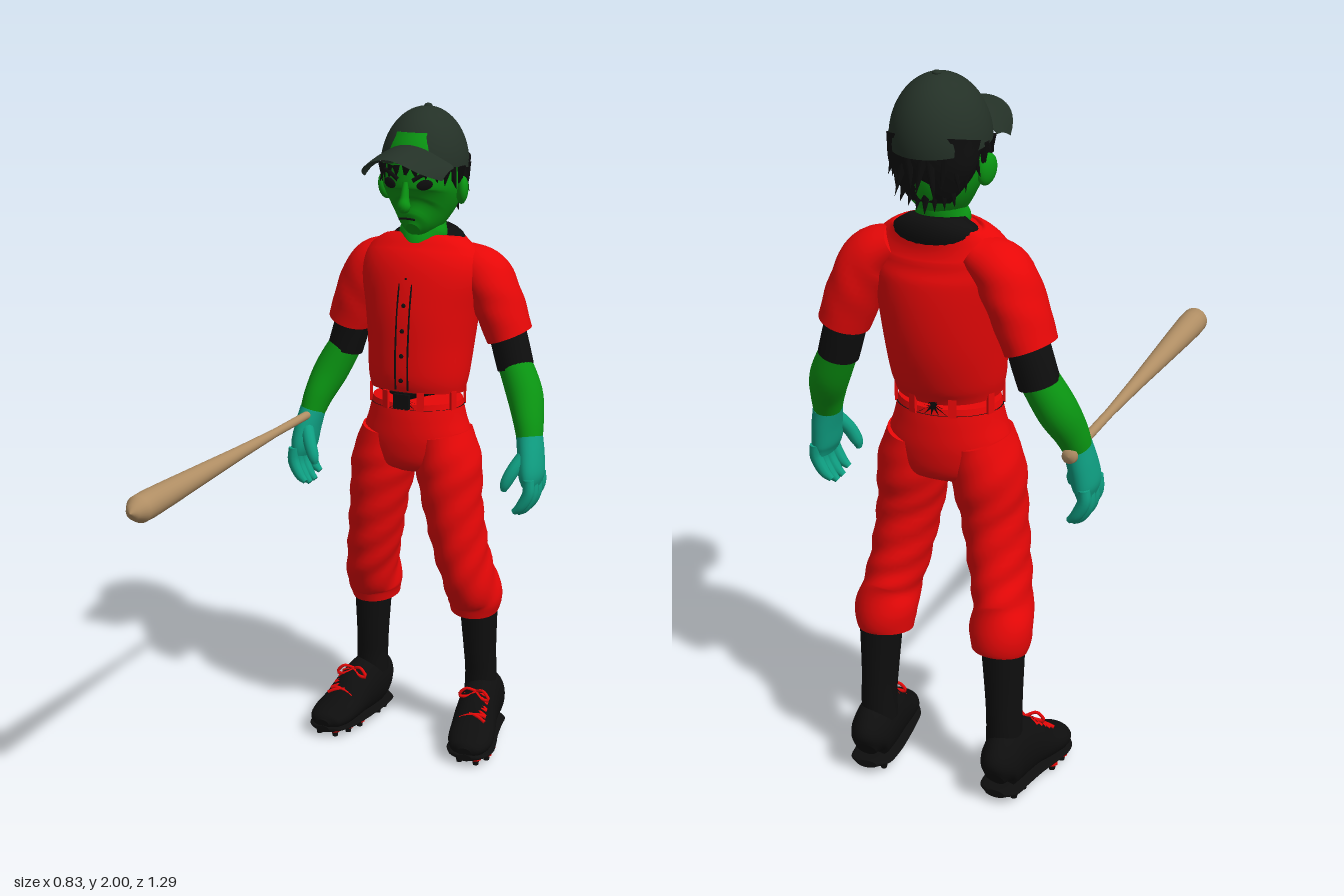
import * as THREE from 'three';

const mat = (name, color) => Object.assign(new THREE.MeshStandardMaterial({ color }), { name });

// Smooth loft through sections [x, y, z, a, b]; 'hint' is the direction of radius b.
function loft(sections, { hint = [0, 0, 1], seg = 28, steps = 6, fold = 0 } = {}) {
  const curve = new THREE.CatmullRomCurve3(sections.map(s => new THREE.Vector3(s[0], s[1], s[2])), false, 'catmullrom');
  const size = new THREE.CatmullRomCurve3(sections.map(s => new THREE.Vector3(s[3], s[4], 0)), false, 'catmullrom');
  const h = new THREE.Vector3(...hint), n = (sections.length - 1) * steps, pos = [], idx = [];
  const ring = (t, k) => {
    const p = curve.getPoint(t), r = size.getPoint(t), tan = curve.getTangent(t);
    const u = new THREE.Vector3().crossVectors(tan, h).normalize(), v = new THREE.Vector3().crossVectors(u, tan);
    for (let j = 0; j < seg; j++) {
      const th = j / seg * Math.PI * 2;
      const w = k * (1 + fold * Math.sin(th * 3 + p.y * 70) * Math.sin(Math.PI * t));
      const q = p.clone().addScaledVector(u, r.x * w * Math.cos(th)).addScaledVector(v, r.y * w * Math.sin(th));
      pos.push(q.x, q.y, q.z);
    }
  };
  ring(0, 0); ring(0, 1);
  for (let i = 0; i <= n; i++) ring(i / n, 1);
  ring(1, 1); ring(1, 0);
  for (let i = 0; i < n + 4; i++) for (let j = 0; j < seg; j++) {
    const a = i * seg + j, c = i * seg + (j + 1) % seg;
    idx.push(a, a + seg, c, c, a + seg, c + seg);
  }
  const g = new THREE.BufferGeometry();
  g.setAttribute('position', new THREE.Float32BufferAttribute(pos, 3));
  g.setIndex(idx);
  g.computeVertexNormals();
  // front surface depth at (x, y) for upright lofts
  g.userData.frontZ = (x, y) => {
    let lo = 0, hi = 1;
    for (let i = 0; i < 30; i++) { const m = (lo + hi) / 2; if (curve.getPoint(m).y < y) lo = m; else hi = m; }
    const r = size.getPoint(lo);
    return curve.getPoint(lo).z + r.y * Math.sqrt(Math.max(0, 1 - (x / r.x) ** 2));
  };
  return g;
}

export function createModel() {
  const root = new THREE.Group();
  root.name = 'ballPlayer';
  const red = mat('uniformRed', 0xf20808), green = mat('skinGreen', 0x0a9612), teal = mat('gloveTeal', 0x0fa083);
  const black = mat('black', 0x0e0e0e), capMat = mat('capGreen', 0x243127), wood = mat('batWood', 0xb08e64);
  capMat.side = THREE.DoubleSide;

  const add = (name, g, m, p = [0, 0, 0], r = [0, 0, 0], s = [1, 1, 1]) => {
    const o = new THREE.Mesh(g, m);
    o.name = name;
    o.position.set(...p); o.rotation.set(...r); o.scale.set(...s);
    root.add(o);
    return o;
  };
  const ball = new THREE.SphereGeometry(1, 20, 14);
  const wire = (name, pts, r, m) => add(name, new THREE.TubeGeometry(
    new THREE.CatmullRomCurve3(pts.map(p => new THREE.Vector3(...p))), 16, r, 6), m);

  // Jersey, collar and belt
  const jersey = loft([[0, 1.15, -.455, .146, .12], [0, 1.2, -.46, .156, .137], [0, 1.3, -.475, .165, .149],
    [0, 1.4, -.483, .178, .148], [0, 1.5, -.49, .195, .132], [0, 1.56, -.505, .182, .105], [0, 1.6, -.52, .135, .08],
    [0, 1.61, -.522, .11, .072]], { seg: 40 });
  add('jersey', jersey, red);
  add('undershirtCollar', loft([[0, 1.58, -.525, .12, .07], [0, 1.61, -.528, .113, .074], [0, 1.635, -.525, .075, .06]]), black);
  const onChest = (x, y) => [x, y, jersey.userData.frontZ(x, y)];
  for (const s of [-1, 1]) {
    wire('placketSeam', [1.17, 1.25, 1.33, 1.41, 1.49, 1.54].map(y => onChest(s * .02, y)), .003, black);
    wire('necklineTrim', [[.082, 1.6], [.05, 1.58], [.02, 1.555], [.004, 1.54]].map(([x, y]) => onChest(s * x, y)), .005, red);
  }
  for (let i = 0; i < 5; i++) add('button', ball, black, onChest(0, 1.2 + i * .075), [0, 0, 0], [.007, .007, .004]);
  add('belt', loft([[0, 1.108, -.455, .147, .124], [0, 1.16, -.455, .144, .122]], { seg: 40, steps: 1 }), black);
  for (let i = 0; i < 8; i++) {
    const a = (i + .5) / 8 * Math.PI * 2;
    add('beltLoop', new THREE.BoxGeometry(.022, .056, .008), red,
      [Math.sin(a) * .146, 1.134, -.455 + Math.cos(a) * .123], [0, a, 0]);
  }
  add('buckle', new THREE.BoxGeometry(.05, .045, .012), black, [0, 1.134, -.331]);

  // Trousers seat
  add('trouserSeat', loft([[0, .9, -.455, .09, .07], [0, .93, -.455, .16, .115], [0, 1, -.455, .174, .129],
    [0, 1.07, -.455, .153, .126], [0, 1.125, -.455, .14, .118]], { seg: 36 }), red);

  // Neck and head
  add('neck', loft([[0, 1.55, -.46, .03, .045], [0, 1.585, -.465, .058, .056], [0, 1.62, -.485, .075, .06],
    [0, 1.66, -.5, .062, .06], [0, 1.72, -.5, .065, .065]]), green);
  const head = loft([[0, 1.641, -.405, .022, .028], [0, 1.655, -.42, .046, .058], [0, 1.69, -.453, .082, .1],
    [0, 1.74, -.475, .11, .128], [0, 1.8, -.48, .119, .136], [0, 1.86, -.48, .117, .132], [0, 1.92, -.485, .09, .11]], { seg: 36 });
  add('head', head, green);
  const onFace = (x, y) => [x, y, head.userData.frontZ(x, y)];
  add('nose', loft([[0, 1.705, -.345, .012, .01], [0, 1.72, -.336, .02, .02], [0, 1.745, -.341, .013, .016],
    [0, 1.79, -.348, .008, .01]], { seg: 14 }), green);
  wire('mouth', [-.025, -.01, .01, .025].map(x => onFace(x, 1.682 - x * x * 5)), .003, black);
  for (const s of [-1, 1]) {
    add('eye', ball, black, onFace(s * .055, 1.783), [0, s * .4, s * .2], [.024, .015, .006]);
    wire('eyebrow', [[.022, 1.795], [.05, 1.812], [.085, 1.82]].map(([x, y]) => onFace(s * x, y)), .007, black);
    add('ear', ball, green, [s * .122, 1.755, -.485], [.2, s * .4, s * -.15], [.018, .042, .03]);
  }

  // Hair: back mass with a ragged fringe of locks around the cap
  add('hairBack', loft([[0, 1.68, -.56, .055, .025], [0, 1.72, -.555, .088, .05], [0, 1.77, -.545, .115, .077],
    [0, 1.84, -.53, .124, .098]]), black);
  for (let i = 0; i < 26; i++) {
    const a = i / 26 * Math.PI * 2, back = (1 - Math.cos(a)) / 2, len = .04 + .06 * back + .02 * (i % 3) * back;
    const lock = new THREE.ConeGeometry(.02, len, 5).rotateX(Math.PI);
    add('hairLock', lock, black, [Math.sin(a) * .12, 1.825 - len / 4 - .03 * back, -.485 + Math.cos(a) * .134],
      [-.2 * Math.cos(a), 0, .2 * Math.sin(a) + (i % 2 ? .15 : -.15)]);
  }
  for (let i = -3; i <= 3; i++) add('napeLock', new THREE.ConeGeometry(.02, .075, 5).rotateX(Math.PI), black,
    [i * .022, 1.69 + Math.abs(i) * .007, -.588 + Math.abs(i) * .006], [.25, 0, i * .08]);

  // Cap crown, button and curved brim
  add('capCrown', new THREE.SphereGeometry(1, 36, 16, 0, Math.PI * 2, 0, Math.PI / 2), capMat,
    [0, 1.822, -.489], [-.13, 0, 0], [.129, .172, .145]);
  add('capButton', ball, capMat, [0, 1.993, -.51], [0, 0, 0], [.012, .007, .012]);
  const brim = new THREE.PlaneGeometry(2, 1, 24, 8), bp = brim.attributes.position;
  for (let i = 0; i < bp.count; i++) {
    const u = bp.getX(i), v = .5 - bp.getY(i);
    bp.setXYZ(i, .122 * u, 1.898 - .025 * v * v - .07 * u * u, -.42 + v * (.22 - .13 * u ** 4));
  }
  brim.computeVertexNormals();
  add('capBrim', brim, capMat);

  // Bat, pointing forward
  const profile = [[0, -.525], [.019, -.522], [.022, -.51], [.013, -.495], [.013, -.2], [.02, .03], [.029, .25],
    [.037, .45], [.04, .54], [.039, .59], [.022, .62], [0, .635]].map(p => new THREE.Vector2(...p));
  add('bat', new THREE.LatheGeometry(profile, 24), wood, [-.36, 1.026, 0], [Math.PI / 2, 0, 0]);

  // Limbs, mirrored
  for (const s of [-1, 1]) {
    const limb = (name, m, rows, opt) => add(name, loft(rows.map(([x, ...r]) => [x * s, ...r]), opt), m);
    limb('sleeve', red, [[.11, 1.55, -.52, .05, .07], [.18, 1.505, -.525, .074, .09], [.225, 1.42, -.532, .074, .095],
      [.262, 1.322, -.537, .068, .088]], { fold: .02 });
    limb('undersleeve', black, [[.245, 1.36, -.54, .055, .06], [.265, 1.29, -.54, .056, .06], [.284, 1.225, -.537, .055, .06]]);
    limb('forearm', green, [[.275, 1.25, -.538, .05, .055], [.322, 1.155, -.515, .054, .06], [.35, 1.08, -.48, .045, .053],
      [.366, 1.015, -.455, .036, .043]]);
    limb('gloveHand', teal, [[.362, 1.035, -.462, .039, .048], [.372, .985, -.45, .038, .058], [.38, .93, -.438, .036, .064],
      [.383, .895, -.435, .024, .058]]);
    for (let i = 0; i < 4; i++) {
      const z = -.488 + i * .035, d = [.018, 0, 0, .012][i];
      limb('gloveFinger', teal, [[.39, .925, z, .017, .018], [.391, .87 + d, z + .002, .018, .018],
        [.37, .828 + d, z + .004, .016, .016], [.348, .808 + d, z + .006, .009, .009]], { seg: 10, steps: 4 });
    }
    limb('gloveThumb', teal, [[.362, .99, -.42, .02, .022], [.338, .945, -.39, .02, .02], [.32, .905, -.378, .017, .017],
      [.315, .882, -.376, .008, .008]], { seg: 12, steps: 4 });

    limb('trouserLeg', red, [[.17, .43, -.53, .076, .078], [.172, .48, -.523, .086, .09], [.165, .55, -.49, .077, .106],
      [.146, .65, -.465, .08, .108], [.123, .8, -.448, .088, .112], [.107, .92, -.452, .098, .122],
      [.09, 1.02, -.455, .08, .115]], { fold: .035, seg: 36 });
    limb('sock', black, [[.19, .15, -.545, .05, .056], [.19, .22, -.545, .049, .055], [.187, .3, -.54, .051, .058],
      [.182, .46, -.533, .061, .063]]);

    // Shoe with sole, cleats and laces
    const shoe = [[.195, .08, -.628, .028, .035], [.197, .1, -.6, .055, .08], [.2, .112, -.54, .062, .094],
      [.212, .1, -.46, .066, .08], [.225, .078, -.4, .07, .056], [.238, .062, -.34, .07, .04],
      [.243, .054, -.295, .052, .028], [.244, .05, -.277, .022, .014]];
    limb('shoe', black, shoe, { hint: [0, 1, 0] });
    limb('shoeSole', black, shoe.map(r => [r[0], .031, r[2], r[3] * 1.06, .011]), { hint: [0, 1, 0] });
    for (const [x, z] of [[.165, -.58], [.232, -.58], [.165, -.53], [.24, -.53], [.175, -.41], [.28, -.41],
      [.19, -.355], [.288, -.355], [.215, -.31], [.27, -.31]]) {
      add('cleat', new THREE.CylinderGeometry(.014, .009, .03, 8), black, [s * x, .015, z]);
      add('cleatBase', new THREE.CylinderGeometry(.017, .017, .006, 8), red, [s * x, .02, z]);
    }
    const laceAt = (k, f) => {  // point on the instep: k along the shoe, f across it
      const i = Math.min(1, Math.floor(k)), t = k - i;
      const [x, y, z, a, b] = shoe[3 + i].map((v, j) => v + (shoe[4 + i][j] - v) * t);
      return [s * x + f * a, y + b * Math.sqrt(1 - f * f) + .003, z];
    };
    for (let i = 0; i < 4; i++) for (const d of [-1, 1])
      wire('lace', [-.6, -.3, 0, .3, .6].map(f => laceAt(.25 + i * .33 + d * f * .25, f)), .0055, red);
    for (const d of [-1, 1])
      wire('laceBow', [[0, .18, -.45], [d * .03, .19, -.435], [d * .05, .165, -.43], [d * .025, .165, -.432], [0, .178, -.447]]
        .map(([x, y, z]) => [s * .213 + x, y, z]), .005, red);
  }
  return root;
}
